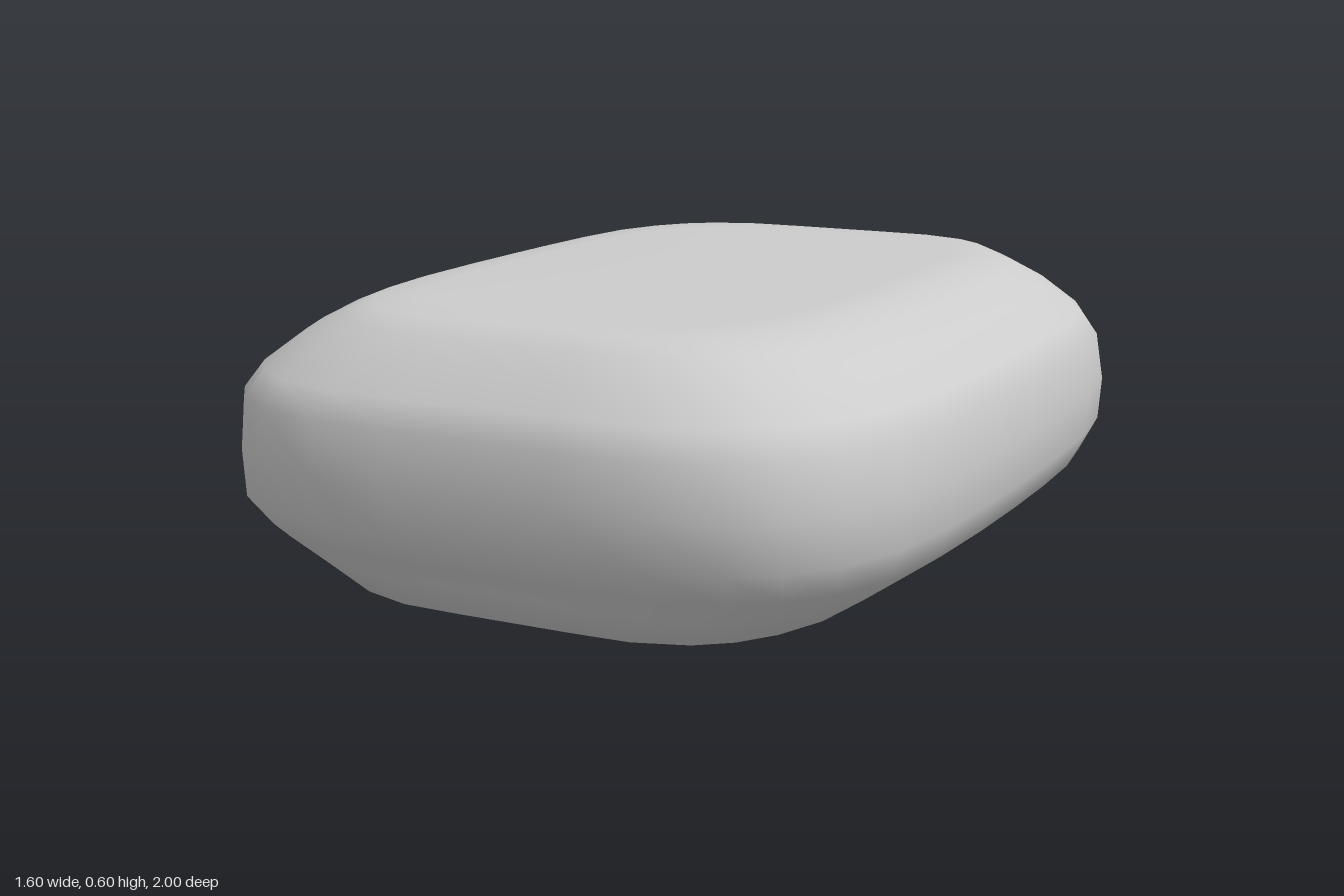
import * as THREE from 'three';

export function createModel() {
  const model = new THREE.Group();
  const grey = new THREE.MeshStandardMaterial({ color: 0xcccccc });
  const add = (name, geometry, parent = model) => {
    const mesh = new THREE.Mesh(geometry, grey);
    mesh.name = name;
    parent.add(mesh);
    return mesh;
  };

  // Plan outline of one quarter, from the front middle to the side middle
  const quarter = [[0, 1], [0.23, 1], [0.46, 0.995], [0.66, 0.95], [0.78, 0.885],
    [0.875, 0.79], [0.95, 0.65], [0.985, 0.45], [0.997, 0.22], [1, 0]];
  const half = [...quarter, ...quarter.slice(0, -1).reverse().map(([x, z]) => [x, -z])];
  const outline = [...half, ...half.slice(1, -1).reverse().map(([x, z]) => [-x, z])];

  // Body levels: height, half width, reach to the front, reach to the back
  const levels = [
    [0, 0, 0, 0], [0, 0.5, 0.74, 0.72], [0, 0.575, 0.835, 0.82],
    [0.07, 0.675, 0.89, 0.865], [0.13, 0.76, 0.94, 0.91], [0.2, 0.79, 1, 0.985],
    [0.3, 0.8, 1, 0.975], [0.41, 0.785, 1, 0.957], [0.465, 0.75, 0.96, 0.93],
    [0.53, 0.665, 0.895, 0.875], [0.57, 0.59, 0.845, 0.83],
    [0.597, 0.525, 0.8, 0.79], [0.6, 0.44, 0.7, 0.69], [0.6, 0, 0, 0],
  ];
  const positions = [], index = [], n = outline.length;
  levels.forEach(([y, w, front, back], j) => {
    outline.forEach(([x, z], i) => {
      positions.push(x * w, y, z * (z > 0 ? front : back));
      if (j === levels.length - 1) return;
      const a = j * n + i, b = j * n + (i + 1) % n;
      index.push(a, b, a + n, b, b + n, a + n);
    });
  });
  const bodyGeometry = new THREE.BufferGeometry();
  bodyGeometry.setAttribute('position', new THREE.Float32BufferAttribute(positions, 3));
  bodyGeometry.setIndex(index);
  bodyGeometry.computeVertexNormals();
  add('body', bodyGeometry);

  // Thin straight rod between two points
  const rod = (name, from, to, radius, parent) => {
    const a = new THREE.Vector3(...from), b = new THREE.Vector3(...to);
    const dir = b.clone().sub(a);
    const mesh = add(name, new THREE.CylinderGeometry(radius, radius, dir.length(), 8), parent);
    mesh.position.copy(a).add(b).multiplyScalar(0.5);
    mesh.quaternion.setFromUnitVectors(new THREE.Vector3(0, 1, 0), dir.normalize());
  };

  // Trim rods across the back, bent slightly at the middle
  const trim = new THREE.Group();
  trim.name = 'backTrim';
  model.add(trim);
  for (const side of [-1, 1]) {
    rod('upperTrimRod', [0, 0.44, -0.955], [side * 0.555, 0.44, -0.908], 0.009, trim);
    rod('lowerTrimRod', [0, 0.155, -0.938], [side * 0.555, 0.155, -0.9], 0.009, trim);
  }

  // Row of flattened beads, with two short prongs at each end
  const beads = new THREE.Group();
  beads.name = 'beadRow';
  model.add(beads);
  for (let i = 0; i < 6; i++) {
    const end = i === 0 || i === 5;
    const bead = add('bead', new THREE.SphereGeometry(1, 20, 14), beads);
    bead.scale.set(end ? 0.052 : 0.056, 0.048, end ? 0.03 : 0.025);
    bead.position.set((i - 2.5) * 0.16, 0.335, end ? -0.97 : -0.974);
  }
  for (const side of [-1, 1]) {
    for (const up of [-1, 1]) {
      rod('endProng', [side * 0.36, 0.335 + up * 0.025, -0.965],
        [side * 0.465, 0.335 + up * 0.06, -0.978], 0.006, beads);
    }
  }
  return model;
}
